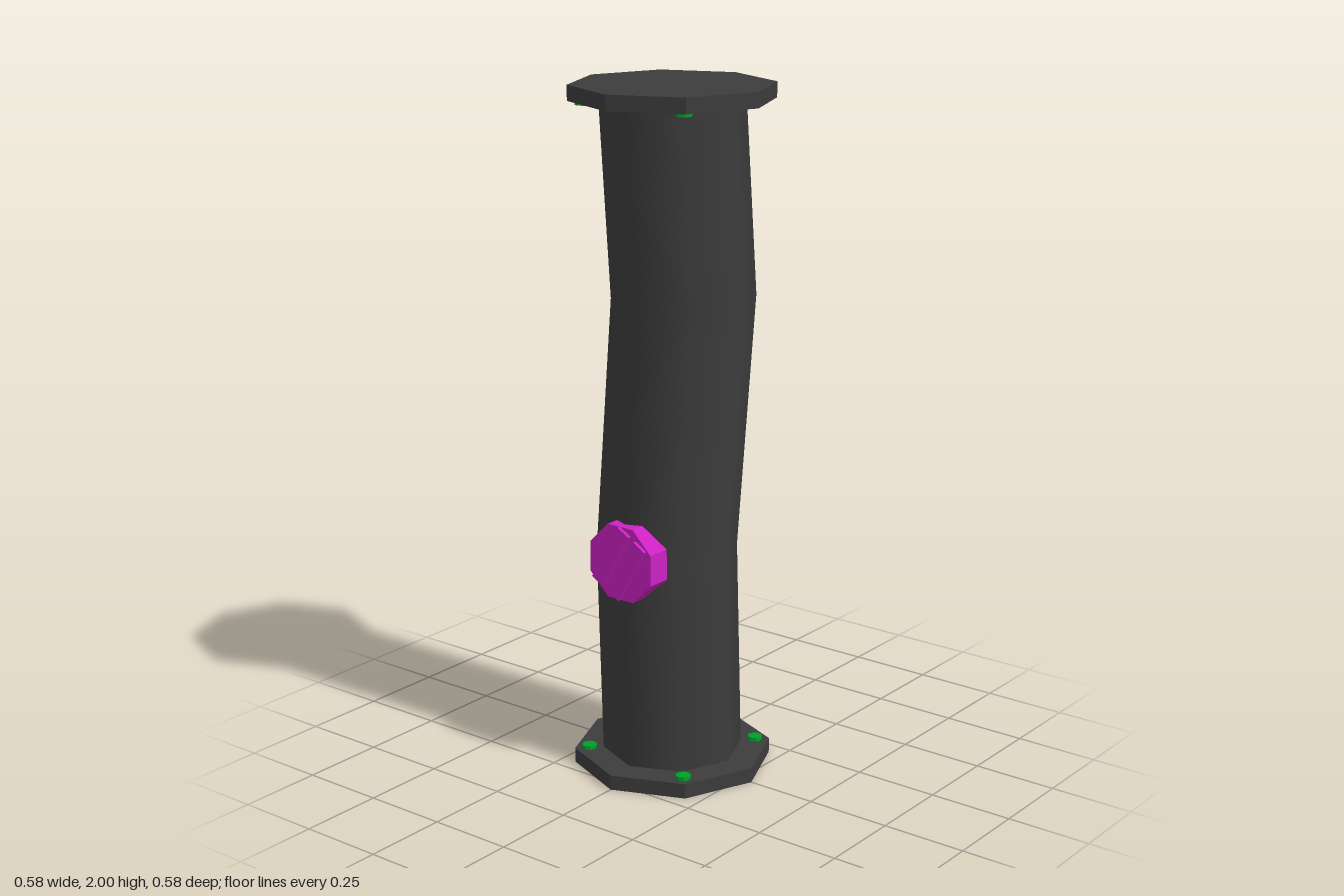
import * as THREE from 'three';

const paint = (color, flatShading = true) => new THREE.MeshStandardMaterial({ color, flatShading });

export function createModel() {
  const model = new THREE.Group();
  model.name = 'bentPipe';
  const dark = paint(0x3c3c3c), pipeDark = paint(0x3c3c3c, false);
  const green = paint(0x00a028), magenta = paint(0xcc22c4);

  const add = (parent, name, geometry, material, x = 0, y = 0, z = 0) => {
    const mesh = new THREE.Mesh(geometry, material);
    mesh.name = name;
    mesh.position.set(x, y, z);
    parent.add(mesh);
    return mesh;
  };

  // Eight-sided pipe whose inner rings are shifted sideways into two bends
  const rings = [[0.03, 0], [0.66, -0.02], [1.41, 0.04], [1.97, 0]];
  const pipe = new THREE.CylinderGeometry(0.205, 0.205, 3, 8, 3, true);
  const p = pipe.attributes.position;
  for (let i = 0; i < p.count; i++) {
    const [y, shift] = rings[Math.round(p.getY(i) + 1.5)];
    p.setXYZ(i, p.getX(i) + shift, y, p.getZ(i));
  }
  add(model, 'pipe', pipe, pipeDark);

  // End flanges, with four bolts on each inner face
  const flange = new THREE.CylinderGeometry(0.29, 0.29, 0.044, 8);
  const bolt = new THREE.CylinderGeometry(0.022, 0.022, 0.03, 8);
  for (const [label, y, inward] of [['bottom', 0.022, 1], ['top', 1.978, -1]]) {
    add(model, label + 'Flange', flange, dark, 0, y);
    for (const x of [-0.175, 0.175])
      for (const z of [-0.175, 0.175])
        add(model, label + 'Bolt', bolt, green, x, y + inward * 0.018, z);
  }

  // Round valve knob on the front, with a slanted split grip
  const knob = new THREE.Group();
  knob.name = 'valveKnob';
  knob.position.set(-0.008, 0.672, 0);
  const body = new THREE.CylinderGeometry(0.118, 0.118, 0.11, 8);
  body.rotateY(Math.PI / 8).rotateX(Math.PI / 2);
  add(knob, 'knobBody', body, magenta, 0, 0, 0.175);
  const grip = new THREE.Group();
  grip.name = 'knobGrip';
  grip.rotation.z = -Math.PI / 6;
  for (const side of [-1, 1])
    add(grip, 'gripBar', new THREE.BoxGeometry(0.045, 0.19, 0.03), magenta, side * 0.0325, 0, 0.226);
  knob.add(grip);
  model.add(knob);

  return model;
}
